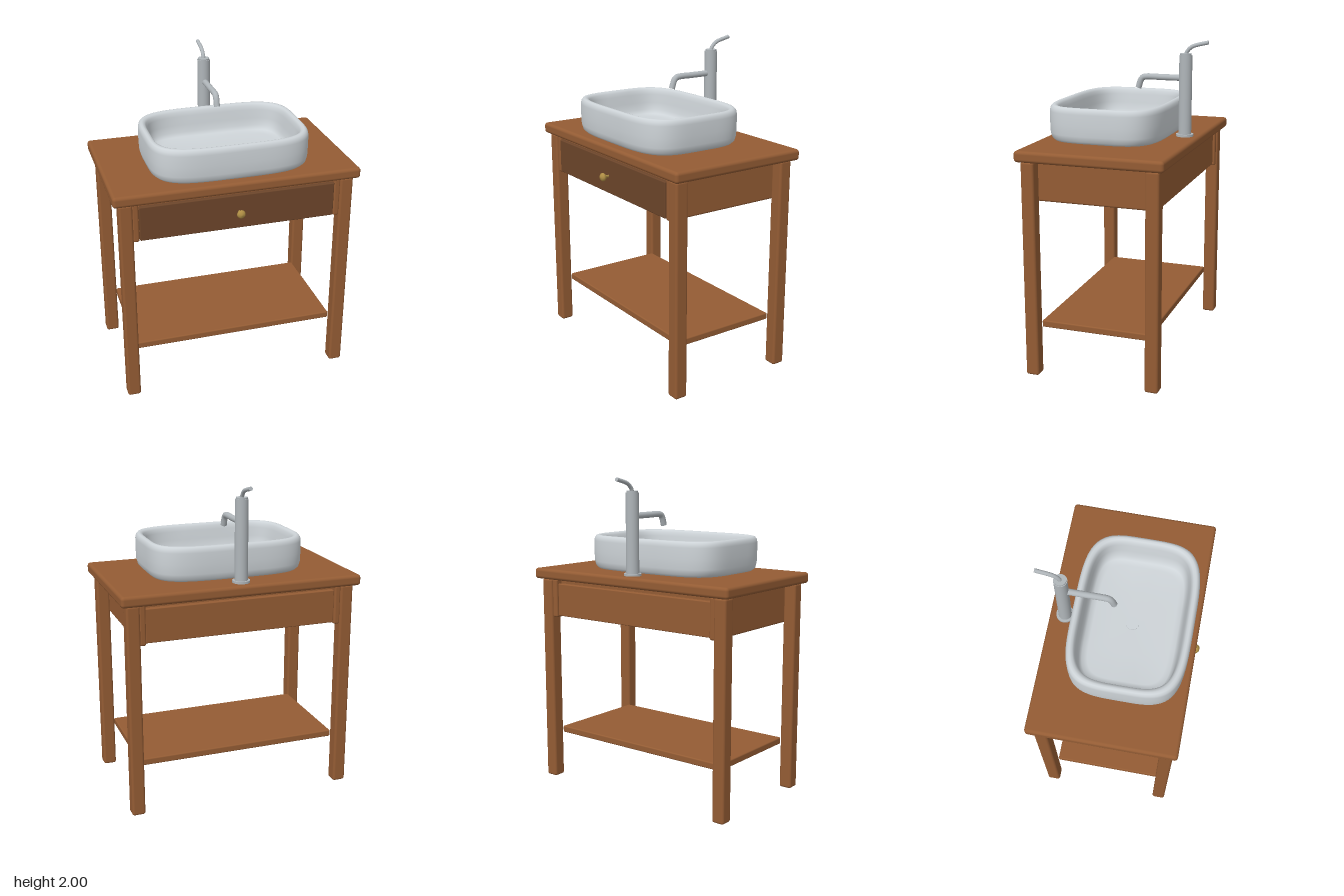
import * as THREE from 'three';
import { RoundedBoxGeometry } from 'three/addons/geometries/RoundedBoxGeometry.js';

const mat = (name, color, side = THREE.FrontSide) => {
  const m = new THREE.MeshStandardMaterial({ color, side });
  m.name = name;
  return m;
};

export function createModel() {
  const wood = mat('wood', 0x945c34);
  const darkWood = mat('dark wood', 0x6c452a);
  const ceramic = mat('ceramic', 0xcdd3d7, THREE.DoubleSide);
  const steel = mat('steel', 0xb0b6ba);
  const brass = mat('brass', 0xb08f45);
  const model = new THREE.Group();
  model.name = 'washstand';

  const add = (name, geometry, material, x = 0, y = 0, z = 0, parent = model) => {
    const mesh = new THREE.Mesh(geometry, material);
    mesh.name = name;
    mesh.position.set(x, y, z);
    parent.add(mesh);
    return mesh;
  };
  // Rounded board given by its limits on each axis
  const board = (name, material, [x0, x1], [y0, y1], [z0, z1], r) =>
    add(name, new RoundedBoxGeometry(x1 - x0, y1 - y0, z1 - z0, 3, r), material,
      (x0 + x1) / 2, (y0 + y1) / 2, (z0 + z1) / 2);

  // Table frame
  board('countertop', wood, [-0.76, 0.76], [1.34, 1.408], [-0.44, 0.467], 0.02);
  for (const s of [-1, 1]) {
    const xs = (a, b) => (s > 0 ? [a, b] : [-b, -a]);
    board('frontLeg', wood, xs(0.642, 0.725), [0, 1.34], [0.357, 0.44], 0.015);
    board('backLeg', wood, xs(0.642, 0.725), [0, 1.34], [-0.405, -0.322], 0.015);
    board('sideApron', wood, xs(0.606, 0.646), [1.09, 1.34], [-0.395, 0.43], 0.012);
  }
  board('lowerShelf', wood, [-0.645, 0.645], [0.292, 0.335], [-0.325, 0.36], 0.008);

  // Drawer
  board('topRail', wood, [-0.61, 0.61], [1.3, 1.342], [-0.35, 0.4], 0.004);
  board('drawerBox', wood, [-0.607, 0.607], [1.1, 1.31], [-0.38, 0.41], 0.006);
  board('drawerFront', darkWood, [-0.604, 0.604], [1.098, 1.315], [0.405, 0.434], 0.006);
  const knobProfile = [[0, 0], [0.009, 0], [0.008, 0.02], [0.018, 0.026], [0.026, 0.037],
    [0.025, 0.046], [0.016, 0.056], [0, 0.059]].map(p => new THREE.Vector2(...p));
  add('drawerKnob', new THREE.LatheGeometry(knobProfile, 20), brass, 0, 1.207, 0.432).rotation.x = Math.PI / 2;

  // Basin: superellipse rings from the underside, over the rim, to the inner floor
  // [half width, half depth, height, corner exponent]
  const rings = [
    [0.001, 0.001, 1.408, 4], [0.44, 0.305, 1.408, 4], [0.47, 0.335, 1.413, 4],
    [0.485, 0.349, 1.428, 4], [0.493, 0.357, 1.46, 4], [0.495, 0.359, 1.52, 4],
    [0.495, 0.359, 1.59, 4], [0.491, 0.355, 1.611, 4], [0.481, 0.345, 1.624, 4],
    [0.47, 0.334, 1.627, 4], [0.457, 0.321, 1.623, 4], [0.447, 0.311, 1.61, 4],
    [0.44, 0.304, 1.585, 4.2], [0.43, 0.295, 1.53, 4.6], [0.42, 0.286, 1.485, 5],
    [0.402, 0.27, 1.46, 5], [0.37, 0.24, 1.449, 5], [0.2, 0.13, 1.445, 4], [0.001, 0.001, 1.443, 2],
  ];
  const seg = 96, pos = [], idx = [];
  const bend = (v, n) => Math.sign(v) * Math.abs(v) ** (2 / n);
  rings.forEach(([a, b, y, n], r) => {
    for (let i = 0; i < seg; i++) {
      const t = (i / seg) * Math.PI * 2;
      pos.push(a * bend(Math.cos(t), n), y, b * bend(Math.sin(t), n));
      if (r === 0) continue;
      const j = (i + 1) % seg, p = (r - 1) * seg, q = r * seg;
      idx.push(p + i, q + i, p + j, p + j, q + i, q + j);
    }
  });
  const basin = new THREE.BufferGeometry();
  basin.setAttribute('position', new THREE.Float32BufferAttribute(pos, 3));
  basin.setIndex(idx);
  basin.computeVertexNormals();
  add('basin', basin, ceramic, 0, 0, 0.072);
  add('drain', new THREE.CylinderGeometry(0.04, 0.04, 0.008, 32), ceramic, 0, 1.445, 0.066);

  // Tap
  const tap = new THREE.Group();
  tap.name = 'tap';
  tap.position.z = -0.347;
  model.add(tap);
  const ring = (name, r, y0, y1) =>
    add(name, new THREE.CylinderGeometry(r, r, y1 - y0, 40), steel, 0, (y0 + y1) / 2, 0, tap);
  ring('tapFlange', 0.054, 1.406, 1.422);
  ring('tapBody', 0.04, 1.42, 1.908);
  ring('tapCap', 0.035, 1.905, 1.918);

  // Round pipe along a path of [y, z] points, closed at the free end
  const pipe = (name, points, r) => {
    const curve = new THREE.CatmullRomCurve3(points.map(([y, z]) => new THREE.Vector3(0, y, z)), false, 'centripetal');
    add(name, new THREE.TubeGeometry(curve, 40, r, 16), steel, 0, 0, 0, tap);
    const end = add(name + 'End', new THREE.CircleGeometry(r, 16), steel, 0, 0, 0, tap);
    end.position.copy(curve.getPoint(1));
    end.lookAt(end.position.clone().add(curve.getTangent(1)).add(tap.position));
  };
  pipe('spout', [[1.768, 0.02], [1.768, 0.15], [1.768, 0.25], [1.763, 0.272], [1.748, 0.286], [1.698, 0.304]], 0.019);
  pipe('lever', [[1.9, 0], [1.925, -0.005], [1.95, -0.025], [1.965, -0.05], [1.988, -0.14]], 0.012);
  return model;
}
